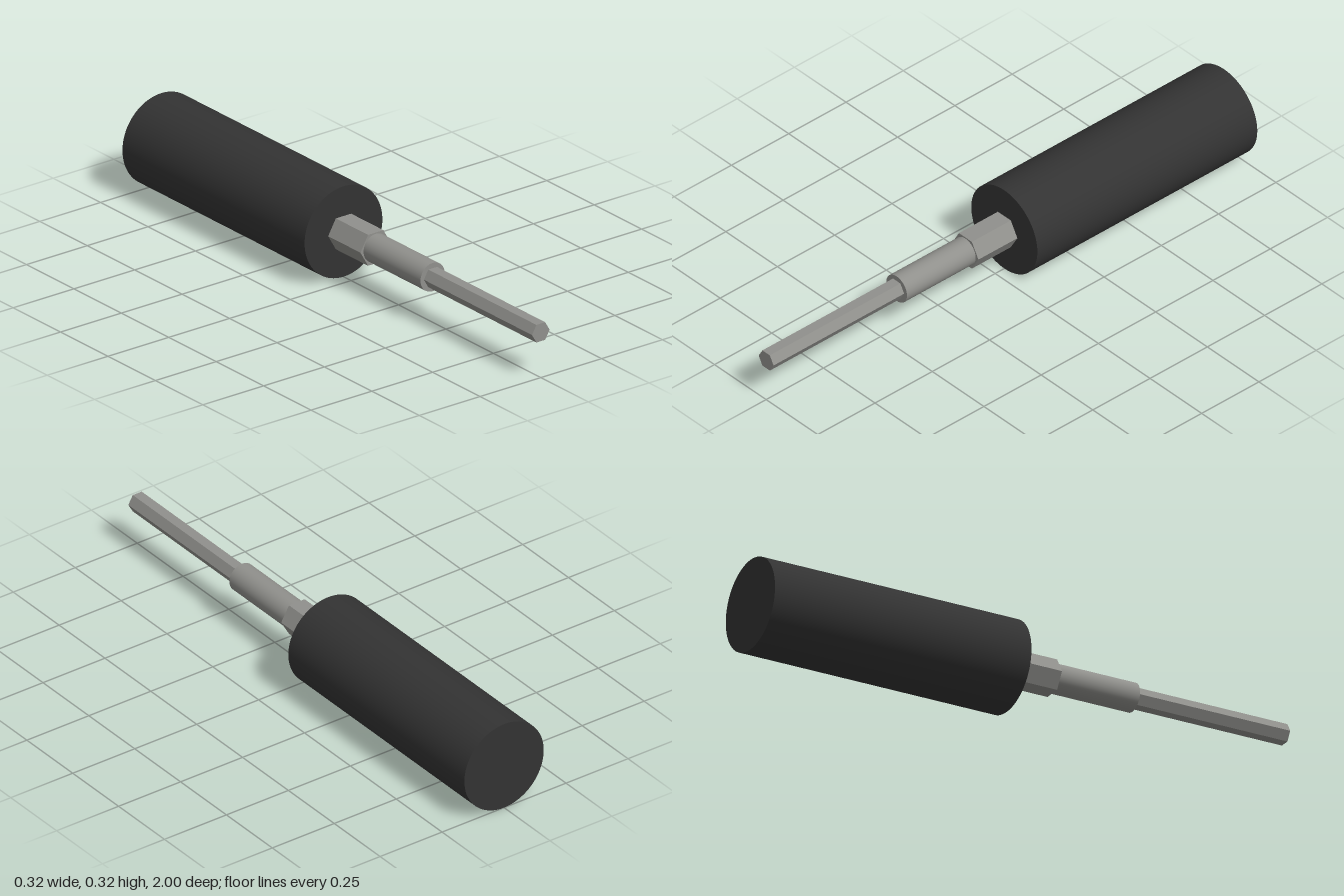
import * as THREE from 'three';

export function createModel() {
  const group = new THREE.Group();

  const rubber = new THREE.MeshStandardMaterial({ color: 0x333333 });
  rubber.name = 'black rubber';
  const steel = new THREE.MeshStandardMaterial({ color: 0x90908c });
  steel.name = 'grey steel';

  const axisY = 0.16;

  // Bar along z; six-sided bars get flat faces with corners at left and right
  function bar(name, radius, zBack, zFront, sides, material) {
    let geo = new THREE.CylinderGeometry(radius, radius, zFront - zBack, sides, 1, false, Math.PI / 2);
    geo.rotateX(Math.PI / 2);
    if (sides === 6) {
      geo = geo.toNonIndexed();
      geo.computeVertexNormals();
    }
    const mesh = new THREE.Mesh(geo, material);
    mesh.name = name;
    mesh.position.set(0, axisY, (zBack + zFront) / 2);
    group.add(mesh);
  }

  bar('handle', 0.16, -1, -0.04, 72, rubber);
  bar('hexCollar', 0.063, -0.04, 0.13, 6, steel);
  bar('roundShaft', 0.05, 0.13, 0.43, 48, steel);
  bar('hexTip', 0.036, 0.43, 1, 6, steel);

  return group;
}
